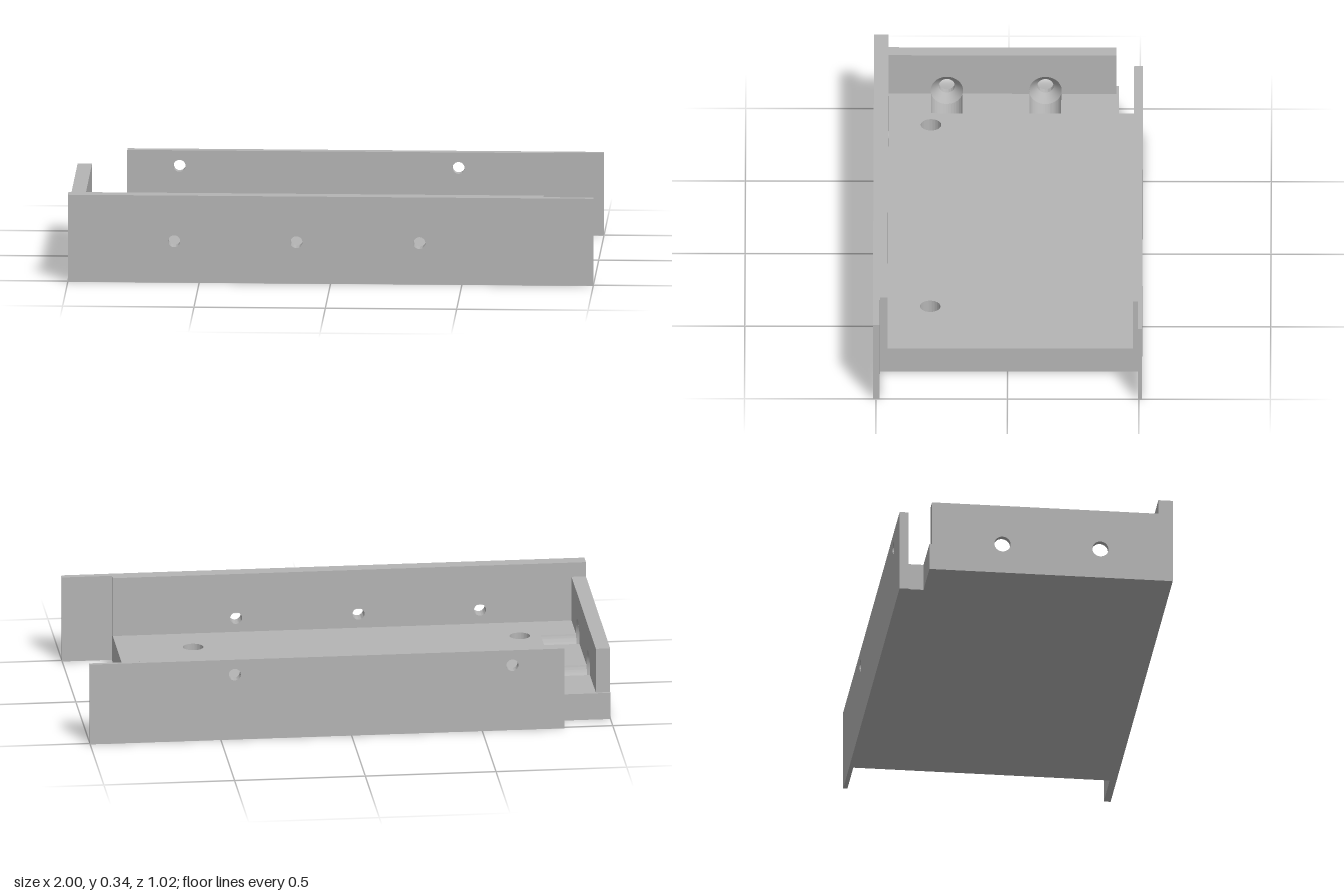
import * as THREE from 'three';
import { toCreasedNormals } from 'three/addons/utils/BufferGeometryUtils.js';

const FLOOR = 0.105;            // top of the base slab
const FRONT = 0.512, BACK = -0.512;
const FRONT_IN = 0.457, BACK_IN = -0.478;
const LEFT = -1, WALL_IN = -0.945, STEP = -0.81, END = 0.81, TAB = 1;
const NOTCH_Z = -0.42;
const BORE_Z = [-0.14, 0.235], BORE_Y = 0.12, BORE_R = 0.031, SINK_R = 0.062;

export function createModel() {
  const group = new THREE.Group();
  group.name = 'tray';
  const grey = new THREE.MeshStandardMaterial({ color: 0xb5b5b5, side: THREE.DoubleSide });

  const add = (name, geometry) => {
    const mesh = new THREE.Mesh(geometry, grey);
    mesh.name = name;
    group.add(mesh);
    return mesh;
  };

  const box = (name, x0, x1, y0, y1, z0, z1) => {
    const g = new THREE.BoxGeometry(x1 - x0, y1 - y0, z1 - z0);
    g.translate((x0 + x1) / 2, (y0 + y1) / 2, (z0 + z1) / 2);
    return add(name, g);
  };

  const polygon = (points) => new THREE.Shape(points.map(([x, y]) => new THREE.Vector2(x, y)));
  const rect = (x0, x1, y0, y1) => polygon([[x0, y0], [x1, y0], [x1, y1], [x0, y1]]);
  const drill = (shape, holes, r) => {
    for (const [x, y] of holes) shape.holes.push(new THREE.Path().absarc(x, y, r, 0, Math.PI * 2, true));
    return shape;
  };

  // Extrude a shape from a to b along the chosen axis.
  // Along x the shape is drawn in (-z, y); along y in (x, -z); along z in (x, y).
  const extrude = (name, shape, axis, a, b) => {
    const g = new THREE.ExtrudeGeometry(shape, { depth: b - a, bevelEnabled: false, curveSegments: 32 });
    g.translate(0, 0, a);
    if (axis === 'x') g.rotateY(Math.PI / 2);
    if (axis === 'y') g.rotateX(-Math.PI / 2);
    return add(name, toCreasedNormals(g, 0.6));
  };

  // Base slab with two blind round pockets
  const pocketFloor = 0.05;
  box('baseBottom', STEP, END, 0, pocketFloor, BACK, FRONT_IN);
  extrude('baseTop',
    drill(rect(STEP, END, -FRONT_IN, -BACK), [[-0.73, -0.295], [0.52, -0.295]], 0.039),
    'y', pocketFloor, FLOOR);

  // Narrow end of the base with rounded troughs leading to the end wall bores
  const t = Math.asin((BORE_Y - FLOOR) / SINK_R);
  const trough = new THREE.Shape();
  trough.moveTo(-FRONT_IN, 0);
  trough.lineTo(-NOTCH_Z, 0);
  trough.lineTo(-NOTCH_Z, FLOOR);
  for (const z of BORE_Z) trough.absarc(-z, BORE_Y, SINK_R, -t, -Math.PI + t, true);
  trough.lineTo(-FRONT_IN, FLOOR);
  trough.closePath();
  extrude('troughBase', trough, 'x', WALL_IN, STEP);

  // End wall: straight bores outside, countersinks inside
  const endProfile = () => polygon([
    [-FRONT_IN, 0], [-NOTCH_Z, 0], [-NOTCH_Z, FLOOR], [0.41, FLOOR], [0.41, 0.28], [-FRONT_IN, 0.28],
  ]);
  const sinkDepth = 0.032, sinkX = WALL_IN - sinkDepth;
  const bores = BORE_Z.map((z) => [-z, BORE_Y]);
  extrude('endWallOuter', drill(endProfile(), bores, BORE_R), 'x', LEFT, sinkX);
  extrude('endWallInner', drill(endProfile(), bores, SINK_R), 'x', sinkX, WALL_IN);
  for (const z of BORE_Z) {
    const cone = new THREE.CylinderGeometry(SINK_R, BORE_R, sinkDepth, 48, 1, true);
    cone.rotateZ(-Math.PI / 2);
    cone.translate(sinkX + sinkDepth / 2, BORE_Y, z);
    add('countersink', cone);
  }

  // Front wall with three holes and a thin tab past the base
  const frontHeight = 0.337, backHeight = 0.32;
  extrude('frontWall',
    drill(rect(LEFT, END, 0, frontHeight), [-0.595, -0.13, 0.338].map((x) => [x, 0.16]), 0.023),
    'z', FRONT_IN, FRONT);
  box('frontTab', END, TAB, 0, frontHeight, 0.486, FRONT);

  // Back wall with two high holes and its thin tab
  extrude('backWall',
    drill(rect(STEP - 0.004, END, 0, backHeight), [-0.615, 0.447].map((x) => [x, 0.26]), 0.023),
    'z', BACK, BACK_IN);
  box('backTab', END, TAB, 0, backHeight, BACK, -0.496);

  return group;
}
